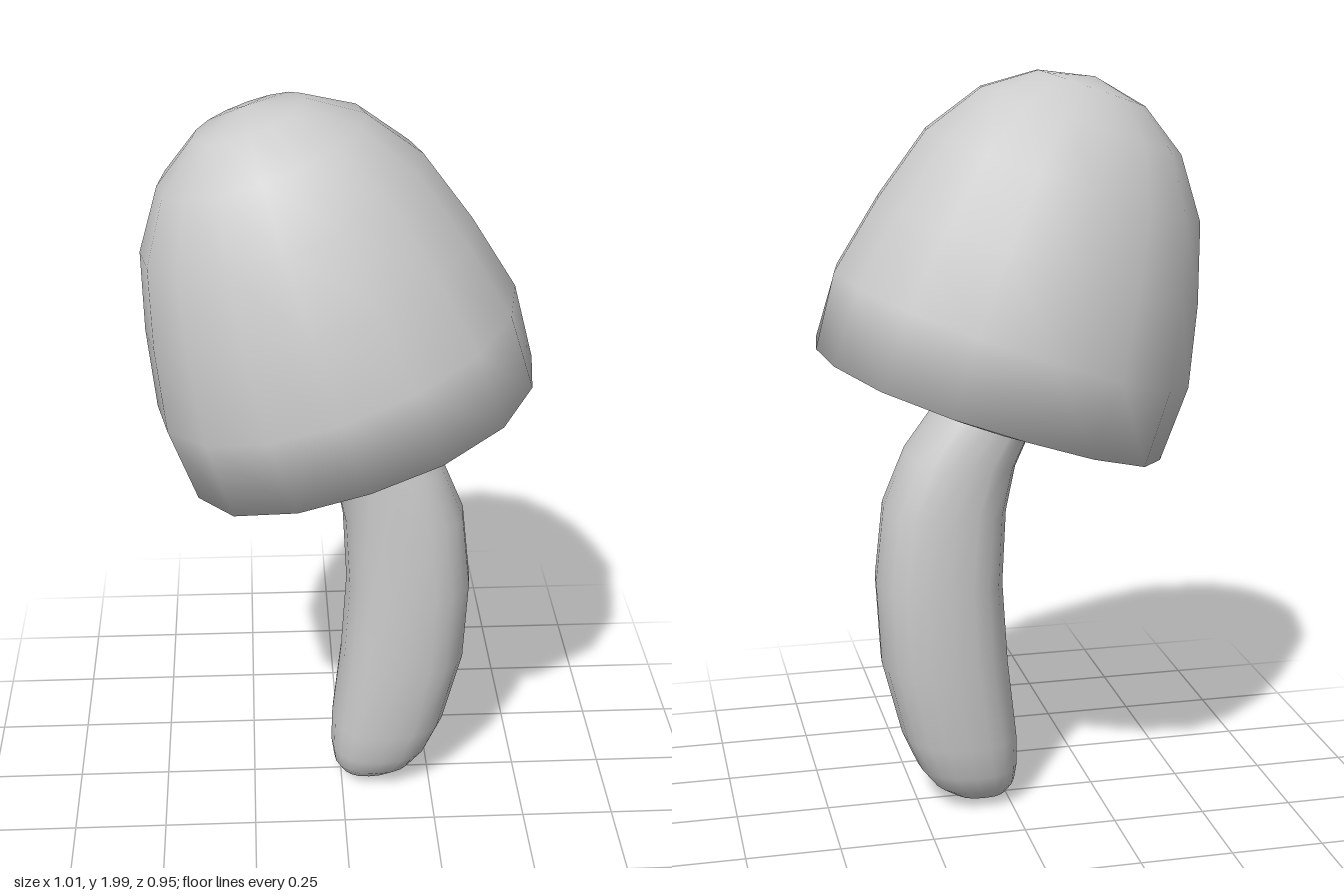
import * as THREE from 'three';
import { mergeVertices } from 'three/addons/utils/BufferGeometryUtils.js';

const grey = new THREE.MeshStandardMaterial({ color: 0xcccccc });

// Welds the seam so the shading runs smoothly all round
function smooth(geometry) {
  geometry.deleteAttribute('uv');
  geometry.deleteAttribute('normal');
  const welded = mergeVertices(geometry, 1e-4);
  welded.computeVertexNormals();
  return welded;
}

// Tilted bell-shaped cap: flat underside, rim, dome
function createCap() {
  const profile = [
    [0, -0.037], [0.275, -0.037], [0.476, 0], [0.492, 0.205], [0.443, 0.417],
    [0.378, 0.62], [0.275, 0.767], [0.148, 0.853], [0, 0.884],
  ].map(([r, y]) => new THREE.Vector2(r, y));
  const geometry = new THREE.LatheGeometry(profile, 16);
  const pos = geometry.attributes.position;
  for (let i = 0; i < pos.count; i++) {
    const x = pos.getX(i), y = pos.getY(i), z = pos.getZ(i);
    // slightly squared outline near the rim, slightly narrower in depth
    const amount = Math.abs(y) < 0.01 ? 0.028 : 0.008;
    const bulge = 1 + amount * (1 - Math.cos(4 * Math.atan2(z, x)));
    pos.setXYZ(i, x * bulge, y, z * bulge * 0.97);
  }
  const cap = new THREE.Mesh(smooth(geometry), grey);
  cap.name = 'cap';
  cap.position.set(0.05, 1.145, 0);
  cap.rotation.z = Math.atan2(0.31, 0.9);
  return cap;
}

// Bent stem lofted through slanted, slightly squared sections
function createStem() {
  // left x, left y, right x, right y, half depth
  const sections = [
    [0.065, 0.005, 0.075, 0.005, 0.005],
    [0.03, 0.01, 0.1, 0.01, 0.04],
    [0, 0.027, 0.155, 0.027, 0.08],
    [-0.02, 0.06, 0.205, 0.06, 0.115],
    [-0.027, 0.11, 0.248, 0.115, 0.138],
    [-0.025, 0.2, 0.29, 0.21, 0.156],
    [0, 0.42, 0.343, 0.42, 0.17],
    [0.015, 0.65, 0.355, 0.65, 0.172],
    [0.005, 0.85, 0.332, 0.86, 0.165],
    [-0.02, 0.97, 0.27, 1.01, 0.156],
    [-0.07, 1.08, 0.16, 1.16, 0.146],
    [-0.14, 1.18, 0.05, 1.27, 0.135],
  ];
  const sides = 20;
  const squared = (v) => Math.sign(v) * Math.pow(Math.abs(v), 0.82);
  const points = [], faces = [];
  for (const [lx, ly, rx, ry, depth] of sections) {
    for (let j = 0; j < sides; j++) {
      const a = (j / sides) * Math.PI * 2;
      const t = (squared(Math.cos(a)) + 1) / 2;
      points.push(lx + (rx - lx) * t, ly + (ry - ly) * t, depth * squared(Math.sin(a)));
    }
  }
  for (let i = 0; i < sections.length - 1; i++) {
    for (let j = 0; j < sides; j++) {
      const a = i * sides + j, b = i * sides + ((j + 1) % sides);
      faces.push(a, a + sides, b, b, a + sides, b + sides);
    }
  }
  // closed ends
  const top = (sections.length - 1) * sides;
  for (let j = 1; j < sides - 1; j++) {
    faces.push(0, j, j + 1, top, top + j + 1, top + j);
  }
  const geometry = new THREE.BufferGeometry();
  geometry.setAttribute('position', new THREE.Float32BufferAttribute(points, 3));
  geometry.setIndex(faces);
  geometry.computeVertexNormals();
  const stem = new THREE.Mesh(geometry, grey);
  stem.name = 'stem';
  return stem;
}

export function createModel() {
  const mushroom = new THREE.Group();
  mushroom.name = 'mushroom';
  mushroom.add(createCap(), createStem());
  return mushroom;
}
